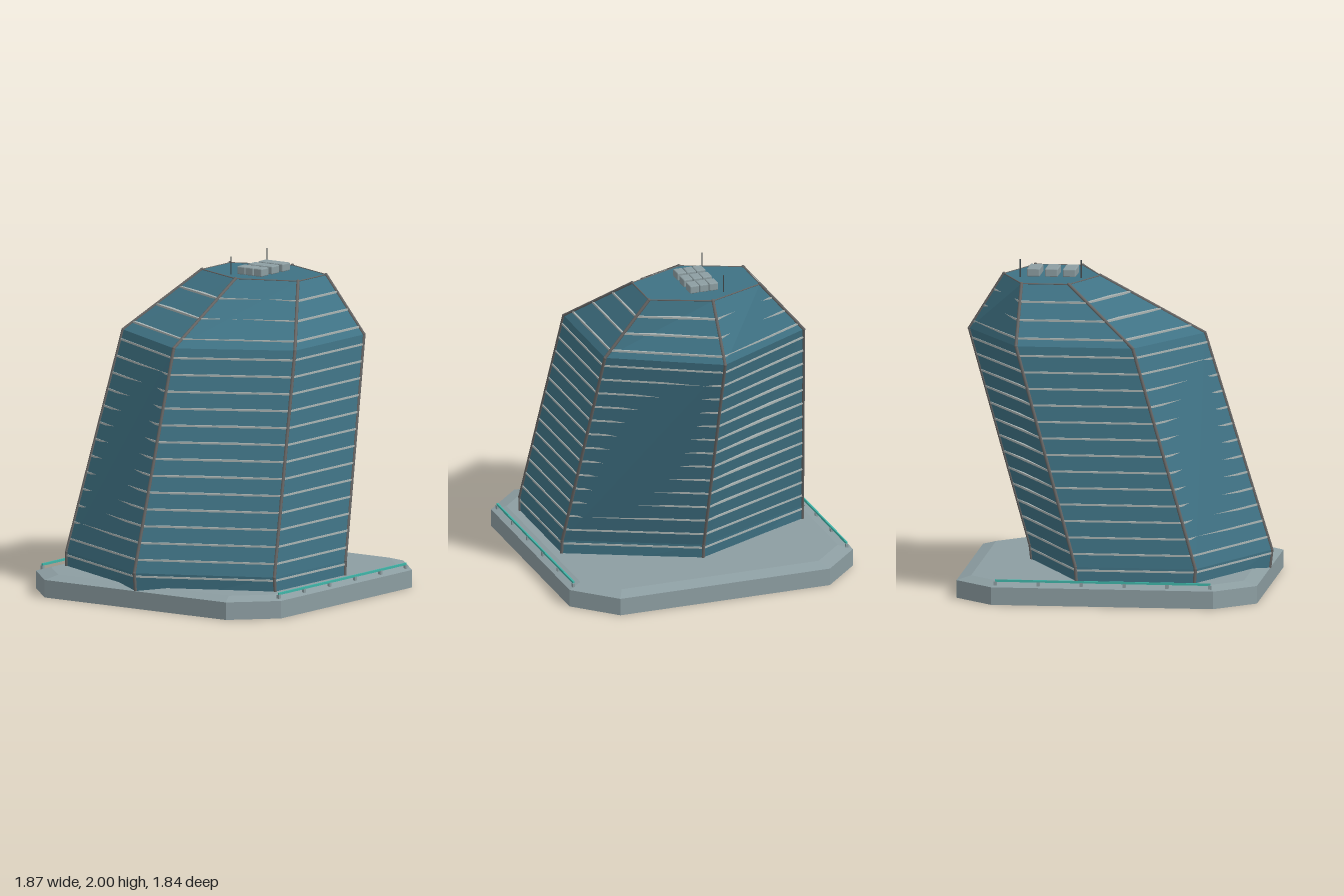
import * as THREE from 'three';
import { RoundedBoxGeometry } from 'three/addons/geometries/RoundedBoxGeometry.js';

const mat = (color, extra = {}) => new THREE.MeshStandardMaterial({ color, ...extra });

// Closed flat-shaded solid through rings of [x, y, z] points (bottom to top, counter-clockwise from above)
function loft(rings) {
  const pos = [];
  const tri = (a, b, c) => pos.push(...a, ...b, ...c);
  const n = rings[0].length;
  for (let r = 0; r < rings.length - 1; r++) {
    const lo = rings[r], hi = rings[r + 1];
    for (let i = 0; i < n; i++) {
      const j = (i + 1) % n;
      tri(lo[i], lo[j], hi[j]);
      tri(lo[i], hi[j], hi[i]);
    }
  }
  const bottom = rings[0], top = rings[rings.length - 1];
  for (let i = 1; i < n - 1; i++) {
    tri(top[0], top[i], top[i + 1]);
    tri(bottom[0], bottom[i + 1], bottom[i]);
  }
  const geo = new THREE.BufferGeometry();
  geo.setAttribute('position', new THREE.Float32BufferAttribute(pos, 3));
  geo.computeVertexNormals();
  return geo;
}

// Hexagonal tower sections: y, left tip x, left corner x, right corner x, right tip x, half depth
const LEVELS = [
  [0.002, -0.905, -0.54, 0.165, 0.525, 0.785],
  [0.22, -0.93, -0.555, 0.18, 0.55, 0.78],
  [1.55, -0.52, -0.155, 0.56, 0.922, 0.645],
  [1.89, 0.12, 0.27, 0.56, 0.71, 0.36],
];

const hexagon = ([y, l, cl, cr, r, z]) =>
  [[l, y, 0], [cl, y, z], [cr, y, z], [r, y, 0], [cr, y, -z], [cl, y, -z]];

function levelAt(y) {
  let k = 0;
  while (k < LEVELS.length - 2 && y > LEVELS[k + 1][0]) k++;
  const a = LEVELS[k], b = LEVELS[k + 1];
  const t = (y - a[0]) / (b[0] - a[0]);
  return a.map((v, i) => v + (b[i] - v) * t);
}

// Octagonal slab outline: half width a, chamfer starting at b
const octagon = (a, b, y) =>
  [[-a, -b], [-a, b], [-b, a], [b, a], [a, b], [a, -b], [b, -a], [-b, -a]].map(([x, z]) => [x, y, z]);

// Round bar between two points
function bar(a, b, radius, material, name) {
  const p = new THREE.Vector3(...a), q = new THREE.Vector3(...b);
  const mesh = new THREE.Mesh(new THREE.CylinderGeometry(radius, radius, p.distanceTo(q), 8), material);
  mesh.position.copy(p).add(q).multiplyScalar(0.5);
  mesh.quaternion.setFromUnitVectors(new THREE.Vector3(0, 1, 0), q.sub(p).normalize());
  mesh.name = name;
  return mesh;
}

export function createModel() {
  const model = new THREE.Group();
  model.name = 'leaningTower';
  const glass = mat(0x3f7284, { flatShading: true });
  const stone = mat(0x8c9da1, { flatShading: true });
  const bandMat = mat(0xa9b3b2, { flatShading: true });
  const ribMat = mat(0x666564);
  const darkMat = mat(0x40474a);
  const railMat = mat(0x3fb5a8);

  const add = (parent, geo, material, name, x = 0, y = 0, z = 0) => {
    const mesh = new THREE.Mesh(geo, material);
    mesh.name = name;
    mesh.position.set(x, y, z);
    parent.add(mesh);
    return mesh;
  };
  const group = (name) => {
    const g = new THREE.Group();
    g.name = name;
    model.add(g);
    return g;
  };

  // Chamfered base slab and glass body
  add(model, loft([octagon(0.92, 0.68, 0), octagon(0.92, 0.68, 0.108), octagon(0.835, 0.64, 0.133)]), stone, 'baseSlab');
  add(model, loft(LEVELS.map(hexagon)), glass, 'towerBody');

  // Thin floor bands every tenth of a unit
  const bands = group('floorBands');
  for (let i = 0; i < 17; i++) {
    const y = 0.2 + i * 0.0995;
    const level = levelAt(y);
    const cx = (level[1] + level[4]) / 2;
    const grow = 1 + 0.005 / level[5];
    const ring = (h) => hexagon(level).map(([x, , z]) => [cx + (x - cx) * grow, y + h, z * grow]);
    add(bands, loft([ring(-0.006), ring(0.006)]), bandMat, 'floorBand');
  }

  // Ribs along the six corners, with a ball at each bend
  const ribs = group('cornerRibs');
  const path = [levelAt(0.11), ...LEVELS.slice(1)].map(hexagon);
  const ball = new THREE.SphereGeometry(0.011, 10, 8);
  for (let c = 0; c < 6; c++) {
    for (let k = 0; k < 3; k++) {
      ribs.add(bar(path[k][c], path[k + 1][c], 0.01, ribMat, 'cornerRib'));
      add(ribs, ball, ribMat, 'ribJoint', ...path[k + 1][c]);
    }
  }

  // Roof edge trim
  const trim = group('roofTrim');
  const roof = hexagon(LEVELS[3]);
  roof.forEach((p, i) => trim.add(bar(p, roof[(i + 1) % 6], 0.004, ribMat, 'roofEdge')));

  // Three rows of roof cooling units
  const units = group('roofUnits');
  const unitGeo = new RoundedBoxGeometry(0.08, 0.05, 0.06, 2, 0.007);
  for (const x of [0.3, 0.41, 0.52])
    for (const z of [-0.062, 0, 0.062]) add(units, unitGeo, stone, 'coolingUnit', x, 1.914, z);

  // Antennas
  for (const x of [0.225, 0.598]) model.add(bar([x, 1.88, -0.11], [x, 2, -0.11], 0.004, darkMat, 'antenna'));

  // Low rails along the front and back of the slab
  const rails = group('rails');
  for (const z of [-0.887, 0.887]) {
    add(rails, new THREE.BoxGeometry(1.32, 0.014, 0.01), railMat, 'rail', 0, 0.145, z);
    for (let i = 0; i < 6; i++)
      add(rails, new THREE.BoxGeometry(0.02, 0.028, 0.016), stone, 'railPost', -0.657 + i * 0.263, 0.126, z);
  }
  return model;
}
